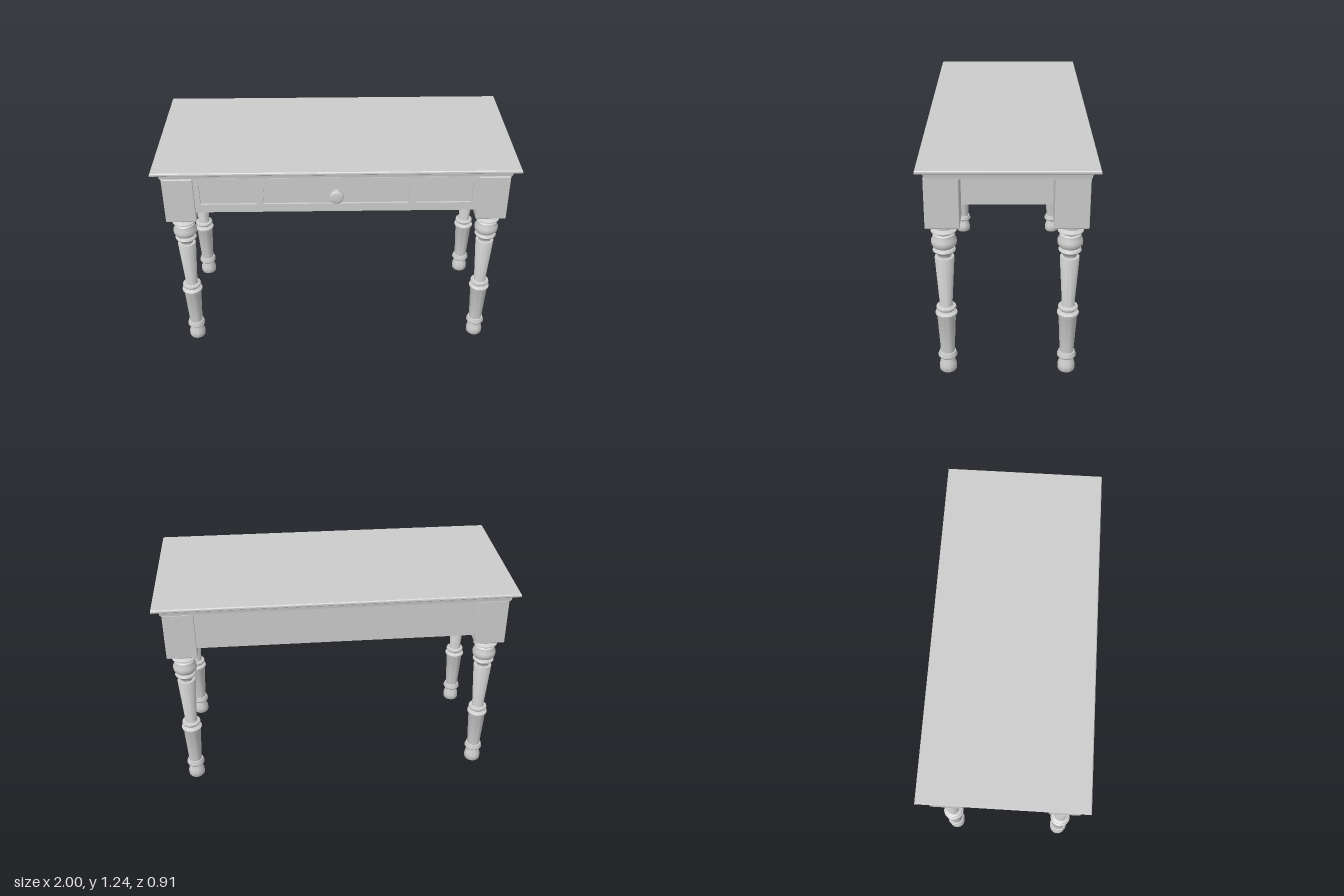
import * as THREE from 'three';
import { toCreasedNormals } from 'three/addons/utils/BufferGeometryUtils.js';
import { RoundedBoxGeometry } from 'three/addons/geometries/RoundedBoxGeometry.js';

const material = new THREE.MeshStandardMaterial({ color: 0xcccccc });

function part(parent, name, geometry, x = 0, y = 0, z = 0) {
  const mesh = new THREE.Mesh(geometry, material);
  mesh.name = name;
  mesh.position.set(x, y, z);
  parent.add(mesh);
  return mesh;
}

// Turned solid from [radius, height] pairs
function turned(profile, segments = 32) {
  const points = profile.map(([r, y]) => new THREE.Vector2(r, y));
  return toCreasedNormals(new THREE.LatheGeometry(points, segments), 0.6);
}

// Stacked rectangles [inset, height], closed above and below
function mouldedSlab(halfX, halfZ, profile) {
  const ring = ([inset, y]) =>
    [[1, 1], [1, -1], [-1, -1], [-1, 1]].map(([sx, sz]) => [sx * (halfX - inset), y, sz * (halfZ - inset)]);
  const rings = profile.map(ring);
  const positions = [];
  const quad = (a, b, c, d) => positions.push(...a, ...b, ...c, ...a, ...c, ...d);
  for (let k = 0; k < rings.length - 1; k++) {
    for (let i = 0; i < 4; i++) {
      const j = (i + 1) % 4;
      quad(rings[k][i], rings[k][j], rings[k + 1][j], rings[k + 1][i]);
    }
  }
  const [b, t] = [rings[0], rings[rings.length - 1]];
  quad(b[3], b[2], b[1], b[0]);
  quad(t[0], t[1], t[2], t[3]);
  const geometry = new THREE.BufferGeometry();
  geometry.setAttribute('position', new THREE.Float32BufferAttribute(positions, 3));
  geometry.computeVertexNormals();
  return geometry;
}

function rectangle(target, x0, x1, y0, y1) {
  target.moveTo(x0, y0);
  target.lineTo(x1, y0);
  target.lineTo(x1, y1);
  target.lineTo(x0, y1);
  target.closePath();
  return target;
}

const LEG_PROFILE = [
  [0, 0], [0.043, 0], [0.047, 0.006], [0.048, 0.03], [0.044, 0.05], [0.037, 0.07], [0.035, 0.083],
  [0.046, 0.086], [0.052, 0.094], [0.052, 0.102], [0.046, 0.112], [0.045, 0.12], [0.038, 0.121],
  [0.05, 0.345], [0.059, 0.363], [0.059, 0.369], [0.05, 0.375], [0.038, 0.379], [0.038, 0.388],
  [0.05, 0.392], [0.054, 0.4], [0.052, 0.408], [0.036, 0.413], [0.034, 0.42],
  [0.052, 0.704], [0.05, 0.709], [0.036, 0.711], [0.037, 0.72], [0.044, 0.731], [0.058, 0.742],
  [0.061, 0.748], [0.056, 0.757], [0.042, 0.762], [0.042, 0.767], [0.055, 0.768],
  [0.065, 0.782], [0.067, 0.795], [0.066, 0.808], [0.058, 0.824], [0.057, 0.838], [0.047, 0.845],
  [0.056, 0.852], [0.068, 0.859], [0.068, 0.864], [0.056, 0.87], [0.046, 0.875], [0.047, 0.89],
  [0.056, 0.893], [0.056, 0.908],
];

export function createModel() {
  const table = new THREE.Group();
  table.name = 'table';

  // Moulded top
  part(table, 'tableTop', mouldedSlab(1, 0.455, [
    [0.045, 1.178], [0.045, 1.183], [0.042, 1.184], [0.039, 1.205], [0.034, 1.21], [0.03, 1.213], [0.03, 1.219],
    [0.008, 1.219], [0.005, 1.222], [0.001, 1.224], [0, 1.228], [0.001, 1.235], [0.005, 1.24],
  ]));

  // Legs: square block above a turned shaft
  const block = new RoundedBoxGeometry(0.17, 0.275, 0.177, 2, 0.005);
  const shaft = turned(LEG_PROFILE);
  for (const [end, z] of [['front', 0.331], ['back', -0.322]]) {
    for (const side of [1, -1]) {
      const leg = new THREE.Group();
      leg.name = `${end}${side > 0 ? 'Left' : 'Right'}Leg`;
      leg.position.set(side * 0.865, 0, z);
      part(leg, 'legBlock', block, 0, 1.0425, 0);
      part(leg, 'turnedShaft', shaft);
      table.add(leg);
    }
  }

  // Closed box between the legs
  part(table, 'apronBox', new THREE.BoxGeometry(1.564, 0.216, 0.806), 0, 1.073, -0.003);

  // Front apron with three sunken panels
  const face = rectangle(new THREE.Shape(), -0.782, 0.782, 0.965, 1.181);
  const panels = [[-0.75, -0.44], [-0.4, 0.4], [0.44, 0.75]];
  for (const [x0, x1] of panels) face.holes.push(rectangle(new THREE.Path(), x0, x1, 1.015, 1.145));
  part(table, 'frontApron', new THREE.ExtrudeGeometry(face, { depth: 0.012, bevelEnabled: false }), 0, 0, 0.4);

  // Drawer knob
  const knob = part(table, 'drawerKnob', turned([
    [0.024, 0], [0.021, 0.012], [0.021, 0.02], [0.026, 0.027], [0.037, 0.035], [0.04, 0.041],
    [0.039, 0.047], [0.034, 0.051], [0.02, 0.053], [0, 0.0535],
  ]), 0, 1.075, 0.4);
  knob.rotation.x = Math.PI / 2;

  return table;
}
